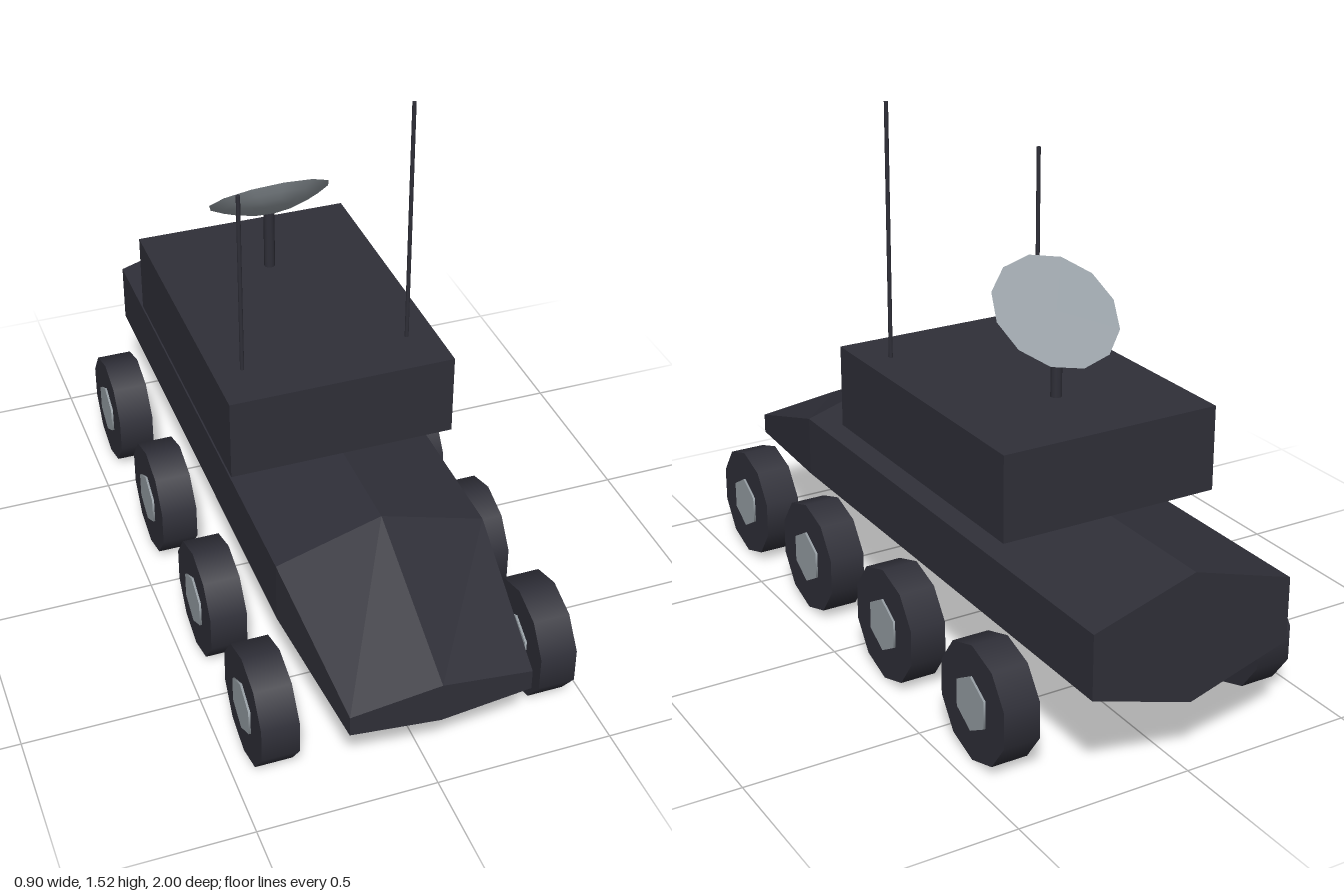
import * as THREE from 'three';

const dark = new THREE.MeshStandardMaterial({ color: 0x2f2f38 });
dark.name = 'dark armour';
const grey = new THREE.MeshStandardMaterial({ color: 0x979fa5 });
grey.name = 'light grey metal';

function add(parent, name, geometry, material, x = 0, y = 0, z = 0) {
  const mesh = new THREE.Mesh(geometry, material);
  mesh.name = name;
  mesh.position.set(x, y, z);
  parent.add(mesh);
  return mesh;
}

// Six-sided cross-section, counter-clockwise as seen from the front
function section(z, halfWidth, top, shoulder, sill, keel) {
  return [
    [0, top, z], [-halfWidth, shoulder, z], [-halfWidth, sill, z],
    [0, keel, z], [halfWidth, sill, z], [halfWidth, shoulder, z],
  ];
}

// Skin and cap a row of sections running from back to front
function loft(sections) {
  const pos = [];
  const tri = (a, b, c) => pos.push(...a, ...b, ...c);
  const n = sections[0].length;
  for (let s = 0; s < sections.length - 1; s++) {
    const a = sections[s], b = sections[s + 1];
    for (let i = 0; i < n; i++) {
      const j = (i + 1) % n;
      tri(a[i], a[j], b[j]);
      tri(a[i], b[j], b[i]);
    }
  }
  const back = sections[0], front = sections[sections.length - 1];
  for (let i = 1; i < n - 1; i++) {
    tri(front[0], front[i], front[i + 1]);
    tri(back[0], back[i + 1], back[i]);
  }
  const geometry = new THREE.BufferGeometry();
  geometry.setAttribute('position', new THREE.Float32BufferAttribute(pos, 3));
  geometry.computeVertexNormals();
  return geometry;
}

export function createModel() {
  const model = new THREE.Group();
  model.name = 'armouredVehicle';

  // Hull with sloping nose
  add(model, 'hull', loft([
    section(-1, 0.295, 0.56, 0.47, 0.29, 0.2),
    section(0.56, 0.295, 0.56, 0.47, 0.29, 0.2),
    section(1, 0.25, 0.35, 0.32, 0.26, 0.23),
  ]), dark);

  // Upper cabin
  add(model, 'cabin', new THREE.BoxGeometry(0.646, 0.24, 0.9), dark, 0, 0.68, -0.18);

  // Eight wheels, each with a hub running right through
  const tyre = new THREE.CylinderGeometry(0.165, 0.165, 0.104, 10).rotateZ(Math.PI / 2);
  const hub = new THREE.CylinderGeometry(0.078, 0.078, 0.116, 6).rotateZ(Math.PI / 2);
  // Turn so that one corner points straight up
  for (const g of [tyre, hub]) g.rotateX(Math.PI / 2);
  for (const side of [-1, 1]) {
    for (const z of [0.72, 0.28, -0.2, -0.68]) {
      const wheel = new THREE.Group();
      wheel.name = 'wheel';
      wheel.position.set(side * 0.392, 0.166, z);
      add(wheel, 'tyre', tyre, dark);
      add(wheel, 'hub', hub, grey);
      model.add(wheel);
    }
  }

  // Antennas of different height
  for (const [name, x, height] of [['leftAntenna', 0.24, 0.725], ['rightAntenna', -0.24, 0.54]]) {
    add(model, name, new THREE.CylinderGeometry(0.006, 0.006, height, 8), dark, x, 0.8 + height / 2, 0.122);
  }

  // Dish on a mast, its flat face tilted up and back
  add(model, 'dishMast', new THREE.CylinderGeometry(0.016, 0.016, 0.19, 10), dark, 0, 0.885, -0.36);
  const dish = new THREE.Group();
  dish.name = 'dish';
  dish.position.set(0, 1.037, -0.355);
  dish.rotation.x = -0.7;
  const profile = [];
  for (let i = 0; i <= 5; i++) {
    const r = i / 5;
    profile.push(new THREE.Vector2(0.18 * r, -0.05 * (1 - r * r)));
  }
  add(dish, 'dishShell', new THREE.LatheGeometry(profile, 12), grey);
  add(dish, 'dishFace', new THREE.CircleGeometry(0.18, 12).rotateX(-Math.PI / 2), grey);
  model.add(dish);

  return model;
}
